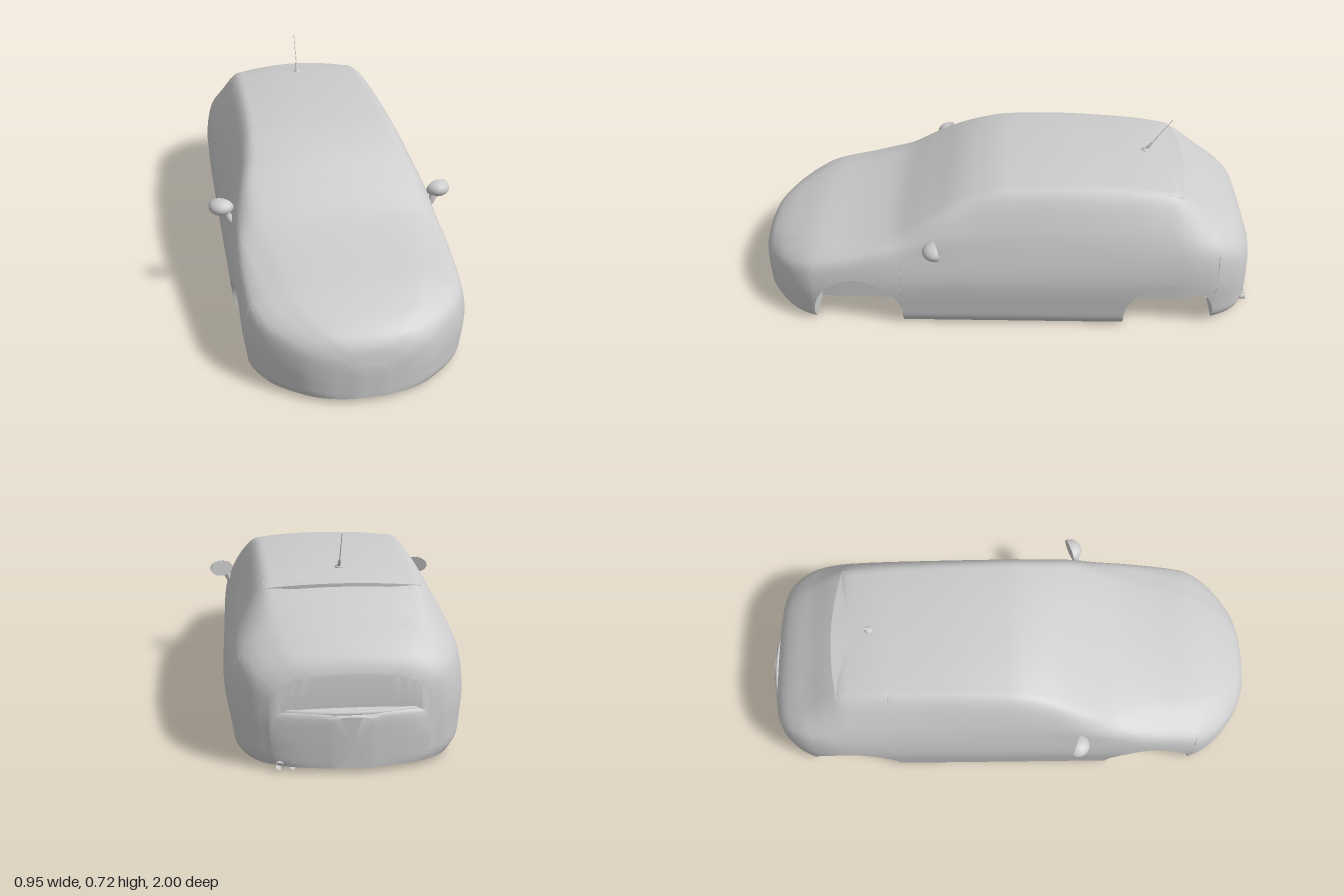
import * as THREE from 'three';
import { toCreasedNormals } from 'three/addons/utils/BufferGeometryUtils.js';

const material = new THREE.MeshStandardMaterial({ color: 0xcccccc, side: THREE.DoubleSide });

// Body stations, nose to tail: z, top, halfWidth, shoulderY, roofEdgeX, roofEdgeY
const STATIONS = [
  [1.0, 0.155, 0.06, 0.13, 0.04, 0.148],
  [0.985, 0.215, 0.145, 0.165, 0.095, 0.2],
  [0.95, 0.255, 0.23, 0.195, 0.15, 0.24],
  [0.83, 0.31, 0.365, 0.245, 0.25, 0.29],
  [0.75, 0.335, 0.4, 0.27, 0.28, 0.315],
  [0.6, 0.365, 0.411, 0.3, 0.31, 0.34],
  [0.45, 0.405, 0.415, 0.325, 0.33, 0.378],
  [0.3, 0.485, 0.415, 0.335, 0.33, 0.455],
  [0.15, 0.562, 0.415, 0.34, 0.305, 0.53],
  [0.0, 0.595, 0.415, 0.34, 0.29, 0.57],
  [-0.2, 0.602, 0.415, 0.345, 0.282, 0.579],
  [-0.45, 0.592, 0.415, 0.35, 0.277, 0.569],
  [-0.65, 0.566, 0.412, 0.355, 0.27, 0.545],
  [-0.7, 0.538, 0.41, 0.355, 0.268, 0.517],
  [-0.8, 0.468, 0.395, 0.345, 0.27, 0.44],
  [-0.88, 0.415, 0.36, 0.32, 0.255, 0.385],
  [-0.93, 0.367, 0.315, 0.29, 0.22, 0.345],
  [-0.953, 0.32, 0.27, 0.26, 0.19, 0.3],
  [-0.957, 0.212, 0.265, 0.18, 0.2, 0.207],
  [-0.98, 0.208, 0.19, 0.175, 0.14, 0.203],
  [-1.0, 0.195, 0.07, 0.165, 0.05, 0.19],
];

// Monotone cubic interpolation of one station column
function sample(z, col) {
  const n = STATIONS.length, S = STATIONS;
  const slope = (i) => (S[i + 1][col] - S[i][col]) / (S[i + 1][0] - S[i][0]);
  const tangent = (i) => {
    if (i === 0) return slope(0);
    if (i === n - 1) return slope(n - 2);
    const a = slope(i - 1), b = slope(i);
    return a * b <= 0 ? 0 : (2 * a * b) / (a + b);
  };
  let i = 0;
  while (i < n - 2 && z < S[i + 1][0]) i++;
  const h = S[i + 1][0] - S[i][0], t = (z - S[i][0]) / h, t2 = t * t, t3 = t2 * t;
  return (2 * t3 - 3 * t2 + 1) * S[i][col] + (t3 - 2 * t2 + t) * h * tangent(i)
    + (3 * t2 - 2 * t3) * S[i + 1][col] + (t3 - t2) * h * tangent(i + 1);
}

// Underside rises slightly towards both bumpers
const floorAt = (z) => 0.003 + 0.017 * (z > 0
  ? THREE.MathUtils.smoothstep(z, 0.8, 1) : THREE.MathUtils.smoothstep(-z, 0.4, 0.8));

const WHEELS = [0.583, -0.645];
const ARCH = { radius: 0.177, y: 0.05, inner: 0.25 };

// Closed ring at z; archY lifts the lower edge of the flanks over a wheel
function ring(z, archY) {
  const [top, w, sy, rx, ry] = [1, 2, 3, 4, 5].map((c) => sample(z, c));
  const floor = floorAt(z), sx = 0.945 * w;
  const crown = [rx * 0.8, ry + (top - ry) * 0.55];
  const curve = new THREE.CatmullRomCurve3([
    [0.91 * w, floor], [0.965 * w, floor + 0.1 * sy], [0.985 * w, floor + 0.28 * sy], [w, 0.66 * sy], [sx, sy],
    [(sx + rx) / 2 + 0.03 * w, (sy + ry) / 2 + 0.004], [rx, ry], crown, [0, top], [-crown[0], crown[1]],
  ].map(([x, y]) => new THREE.Vector3(x, y, z)), false, 'centripetal');
  const lower = Math.max(floor, archY);
  let lo = 0, hi = 0.5;
  for (let k = 0; k < 24 && lower > floor; k++) {
    const mid = (lo + hi) / 2;
    if (curve.getPoint(mid).y < lower) lo = mid; else hi = mid;
  }
  const inner = Math.min(ARCH.inner, 0.6 * w), N = 40;
  const half = [[0, floor], [inner, floor], [inner, lower]].map(([x, y]) => new THREE.Vector3(x, y, z));
  for (let k = 0; k <= N; k++) half.push(curve.getPoint(lo + (8 / 9 - lo) * (k / N)));
  const mirrored = half.slice(0, -1).reverse().map((p) => new THREE.Vector3(-p.x, p.y, p.z));
  return half.concat(mirrored);
}

function bodyGeometry() {
  // Section positions: dense at both ends and around each arch
  const cuts = [];
  for (let k = 0; k <= 100; k++) {
    const z = Math.cos((Math.PI * k) / 100);
    if (WHEELS.every((c) => Math.abs(z - c) > ARCH.radius + 0.004)) cuts.push([z, 0]);
  }
  cuts.push([-0.953, 0], [-0.957, 0]);
  for (const c of WHEELS) {
    cuts.push([c + ARCH.radius, 0]);
    for (let k = 0; k <= 28; k++) {
      const a = (Math.PI * k) / 28;
      cuts.push([c + ARCH.radius * Math.cos(a), ARCH.y + ARCH.radius * Math.sin(a)]);
    }
    cuts.push([c - ARCH.radius, 0]);
  }
  cuts.sort((a, b) => b[0] - a[0]);
  const rings = cuts.map(([z, y]) => ring(z, y));
  // Close nose and tail
  const cap = (z) => rings[0].map(() => new THREE.Vector3(0, 0.1, z));
  rings.unshift(cap(1));
  rings.push(cap(-1));

  const positions = [];
  const tri = new THREE.Triangle();
  const add = (a, b, c) => {
    if (tri.set(a, b, c).getArea() > 1e-6) positions.push(...a.toArray(), ...b.toArray(), ...c.toArray());
  };
  for (let i = 0; i < rings.length - 1; i++) {
    const A = rings[i], B = rings[i + 1];
    for (let j = 0; j < A.length - 1; j++) {
      add(A[j], B[j], A[j + 1]);
      add(A[j + 1], B[j], B[j + 1]);
    }
  }
  const g = new THREE.BufferGeometry();
  g.setAttribute('position', new THREE.Float32BufferAttribute(positions, 3));
  return toCreasedNormals(g, 0.7);
}

function mesh(name, geometry, parent, position = [0, 0, 0]) {
  const m = new THREE.Mesh(geometry, material);
  m.name = name;
  m.position.set(...position);
  parent.add(m);
  return m;
}

const tube = (points, radius) => new THREE.TubeGeometry(
  new THREE.CatmullRomCurve3(points.map((p) => new THREE.Vector3(...p))), 24, radius, 10);

export function createModel() {
  const car = new THREE.Group();
  car.name = 'car';
  mesh('body', bodyGeometry(), car);

  // Roof spoiler: thin slab bent to the roof crown, its rear edge bowed
  const slab = new THREE.BoxGeometry(0.54, 0.012, 0.09, 24, 1, 4);
  const p = slab.attributes.position;
  for (let i = 0; i < p.count; i++) {
    const u = p.getX(i) / 0.27, back = 0.5 - p.getZ(i) / 0.09;
    p.setY(i, p.getY(i) + 0.568 - 0.014 * back - 0.02 * u * u);
    p.setZ(i, -0.61 - 0.09 * back + 0.03 * u * u * back);
  }
  mesh('roofSpoiler', toCreasedNormals(slab, 0.6), car);

  // Door mirrors
  for (const s of [1, -1]) {
    const mirror = new THREE.Group();
    mirror.name = s > 0 ? 'leftMirror' : 'rightMirror';
    car.add(mirror);
    mesh('mirrorStalk', tube([[s * 0.375, 0.325, 0.29], [s * 0.395, 0.35, 0.29], [s * 0.41, 0.385, 0.285]], 0.014), mirror);
    const head = new THREE.Group();
    head.name = 'mirrorHead';
    head.position.set(s * 0.424, 0.394, 0.262);
    head.rotation.y = s * 0.35;
    head.scale.set(0.049, 0.033, 0.05);
    mirror.add(head);
    mesh('mirrorShell', new THREE.SphereGeometry(1, 24, 16, 0, Math.PI), head);
    mesh('mirrorGlass', new THREE.CircleGeometry(1, 24), head).rotation.y = Math.PI;
  }

  // Roof antenna
  mesh('antennaFoot', new THREE.SphereGeometry(0.016, 16, 10), car, [0, 0.582, -0.55]).scale.y = 0.6;
  const mast = new THREE.Group();
  mast.name = 'antenna';
  mast.position.set(0, 0.58, -0.55);
  mast.rotation.x = -0.6;
  car.add(mast);
  mesh('antennaBase', new THREE.CylinderGeometry(0.003, 0.009, 0.045, 12), mast, [0, 0.022, 0]);
  mesh('antennaRod', new THREE.CylinderGeometry(0.0012, 0.002, 0.17, 8), mast, [0, 0.085, 0]);

  // Rear bumper ledge and lower lip follow the rounded tail
  const tail = (y, reach, end) => [-1, -0.66, -0.33, 0, 0.33, 0.66, 1].map((u) =>
    [u * reach, y, end + 0.75 * (u * reach) ** 2]);
  mesh('bumperLedge', tube(tail(0.202, 0.27, -0.985), 0.009), car);
  mesh('bumperLip', tube(tail(0.035, 0.24, -0.975), 0.012), car);

  // Twin exhaust
  for (const x of [0.19, 0.235]) {
    const pipe = new THREE.CylinderGeometry(0.013, 0.013, 0.16, 14, 1, true).rotateX(Math.PI / 2);
    mesh('exhaustPipe', pipe, car, [x, 0.026, -0.9]);
  }
  return car;
}
